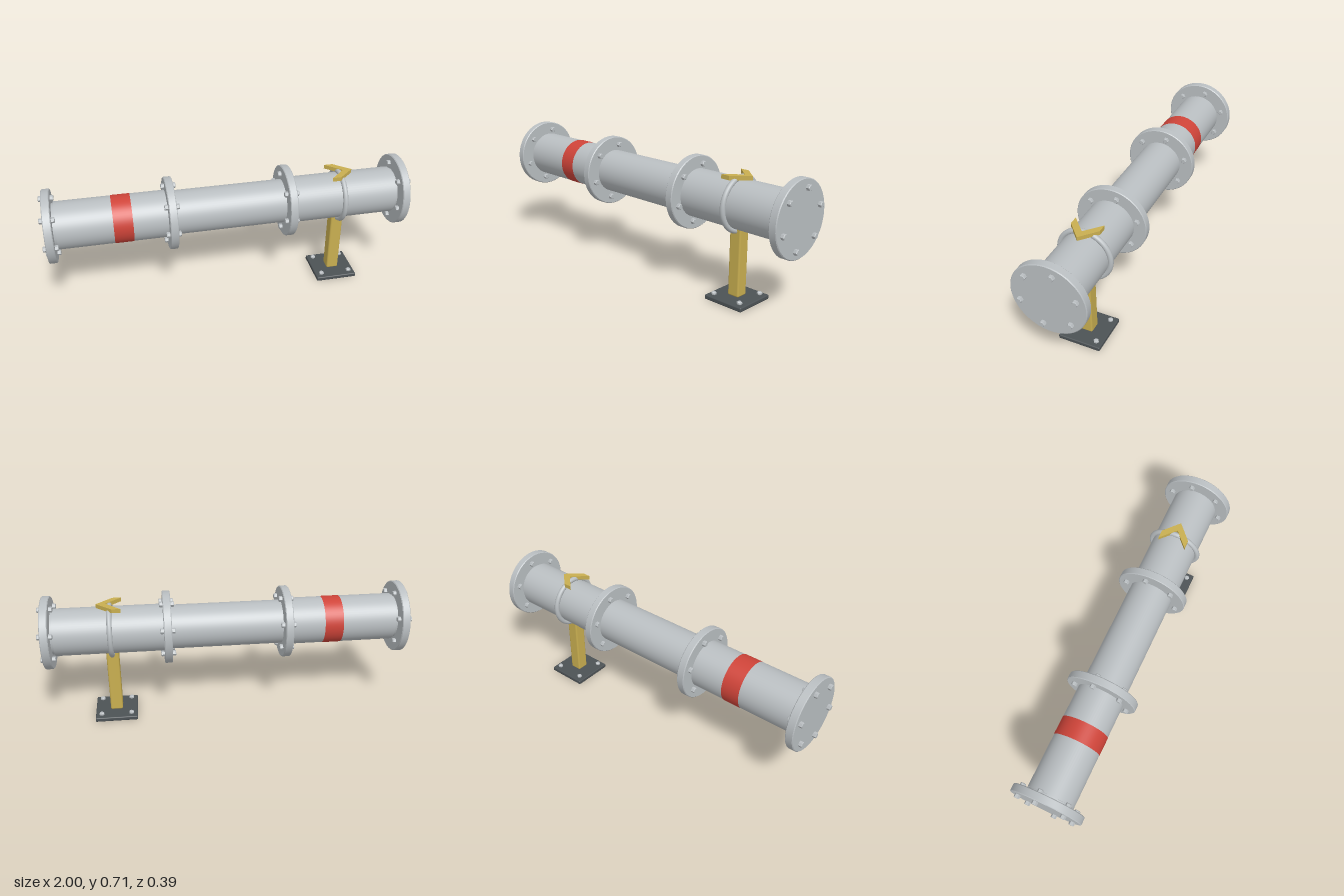
import * as THREE from 'three';
import { toCreasedNormals } from 'three/addons/utils/BufferGeometryUtils.js';
import { RoundedBoxGeometry } from 'three/addons/geometries/RoundedBoxGeometry.js';

const AXIS_Y = 0.514;
const CLAMP_X = 0.628;

const material = (name, color) => {
  const m = new THREE.MeshStandardMaterial({ color });
  m.name = name;
  return m;
};

// Solid disc or bolt along y, with chamfered edges
function chamferedDisc(radius, height, bevel, sides) {
  const h = height / 2;
  const profile = [[0, -h], [radius - bevel, -h], [radius, -h + bevel], [radius, h - bevel], [radius - bevel, h], [0, h]];
  const geo = new THREE.LatheGeometry(profile.map(([x, y]) => new THREE.Vector2(x, y)), sides);
  return toCreasedNormals(geo, 0.4);
}

export function createModel() {
  const steel = material('steel', 0xb9bec1);
  const red = material('red paint', 0xcf4439);
  const yellow = material('yellow paint', 0xc8ae50);
  const dark = material('dark steel', 0x4c5255);

  const model = new THREE.Group();
  model.name = 'flangedPipe';

  const add = (parent, name, geo, mat, x = 0, y = 0, z = 0) => {
    const mesh = new THREE.Mesh(geo, mat);
    mesh.name = name;
    mesh.position.set(x, y, z);
    parent.add(mesh);
    return mesh;
  };

  // Pipe assembly, lying along x
  const pipe = new THREE.Group();
  pipe.name = 'pipe';
  pipe.position.y = AXIS_Y;
  model.add(pipe);

  const tube = (name, x0, x1, radius, mat, open = false) => {
    const geo = new THREE.CylinderGeometry(radius, radius, x1 - x0, 64, 1, open).rotateZ(-Math.PI / 2);
    add(pipe, name, geo, mat, (x0 + x1) / 2);
  };
  tube('middlePipe', -0.33, 0.33, 0.12, steel);
  for (const s of [-1, 1]) {
    const [a, b] = s < 0 ? [-0.925, -0.32] : [0.32, 0.925];
    tube('endPipe', a, b, 0.128, steel);
    const [c, d] = s < 0 ? [-0.96, -0.92] : [0.92, 0.96];
    tube('endNeck', c, d, 0.12, steel);
  }
  tube('redBand', -0.632, -0.53, 0.1295, red, true);

  // Flanges, each with six through bolts
  const flangeGeo = chamferedDisc(0.197, 0.043, 0.004, 64).rotateZ(-Math.PI / 2);
  const boltGeo = chamferedDisc(0.0155, 0.08, 0.003, 6).rotateZ(-Math.PI / 2);
  for (const x of [-0.96, -0.323, 0.323, 0.96]) {
    const flange = new THREE.Group();
    flange.name = 'flange';
    flange.position.x = x;
    pipe.add(flange);
    add(flange, 'flangeDisc', flangeGeo, steel);
    for (let i = 0; i < 6; i++) {
      const a = THREE.MathUtils.degToRad(17 + 60 * i);
      add(flange, 'flangeBolt', boltGeo, steel, 0, Math.sin(a) * 0.153, -Math.cos(a) * 0.153);
    }
  }

  // Clamp ring around the pipe
  const ring = new THREE.TorusGeometry(0.138, 0.014, 16, 64).rotateY(Math.PI / 2);
  add(pipe, 'clampRing', ring, steel, CLAMP_X);

  // Flow arrow lying on top of the pipe, pointing to +x
  const chevron = new THREE.Shape([
    [-0.064, -0.077], [-0.016, -0.077], [0.069, 0], [-0.016, 0.077], [-0.064, 0.077], [0.019, 0],
  ].map(([x, y]) => new THREE.Vector2(x, y)));
  const arrow = new THREE.ExtrudeGeometry(chevron, { depth: 0.022, bevelEnabled: false }).rotateX(-Math.PI / 2);
  add(model, 'flowArrow', arrow, yellow, CLAMP_X, 0.645, 0);

  // Support stand
  const stand = new THREE.Group();
  stand.name = 'stand';
  stand.position.x = CLAMP_X;
  model.add(stand);
  add(stand, 'post', new RoundedBoxGeometry(0.068, 0.375, 0.068, 3, 0.009), yellow, 0, 0.2125, 0);
  add(stand, 'basePlate', new RoundedBoxGeometry(0.235, 0.024, 0.235, 3, 0.006), dark, 0, 0.012, 0);
  const anchorGeo = chamferedDisc(0.0145, 0.018, 0.005, 6);
  for (const x of [-0.083, 0.083]) {
    for (const z of [-0.083, 0.083]) add(stand, 'anchorBolt', anchorGeo, steel, x, 0.032, z);
  }

  return model;
}
